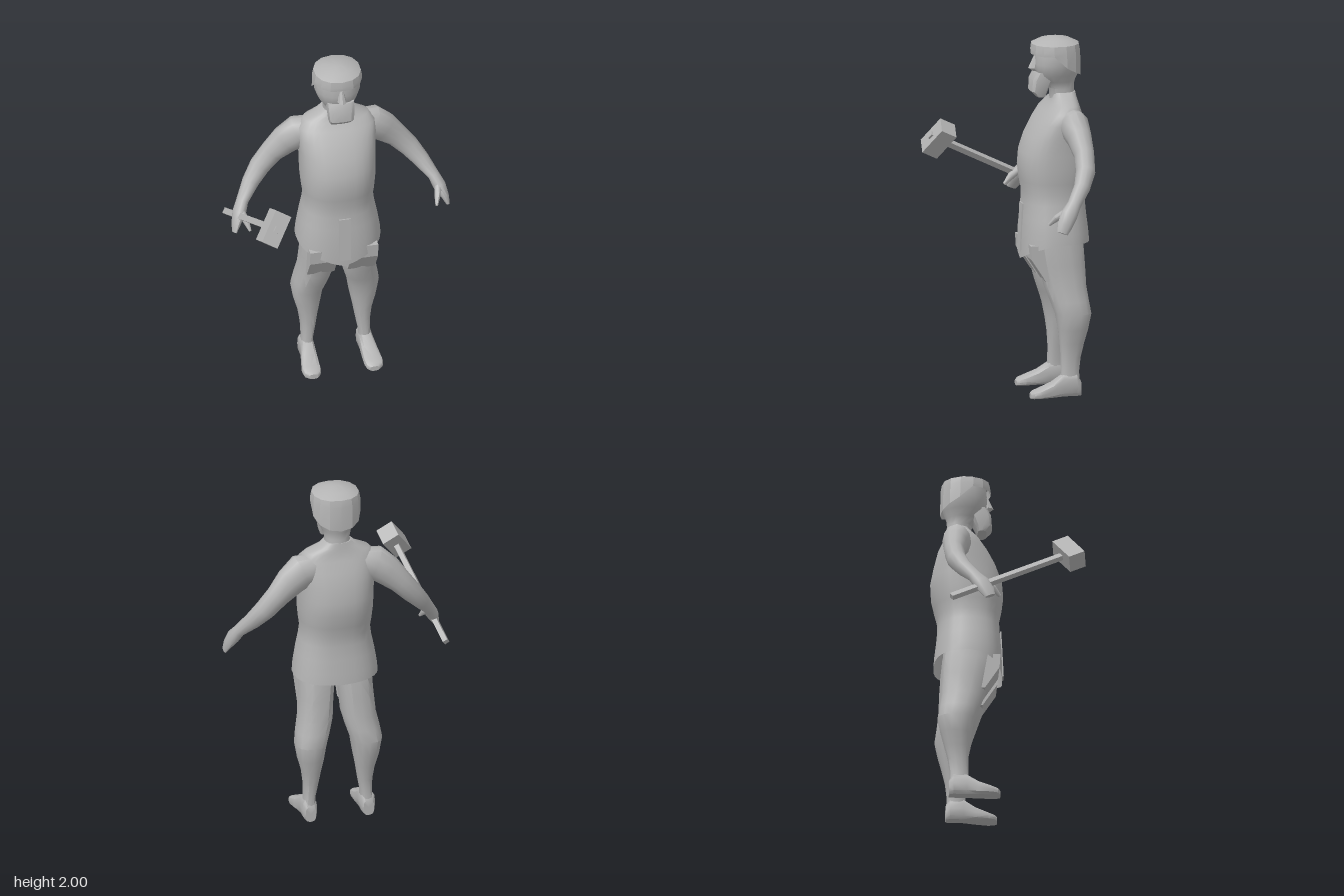
import * as THREE from 'three';
import { toCreasedNormals } from 'three/addons/utils/BufferGeometryUtils.js';

const V = (x, y, z) => new THREE.Vector3(x, y, z);
const spow = (v, e) => Math.sign(v) * Math.pow(Math.abs(v), e);

// Closed horizontal outline between x0..x1 and z0..z1; y may vary with position
function oval(y, x0, x1, z0, z1, n = 20, k = 2.4) {
  const pts = [];
  for (let i = 0; i < n; i++) {
    const a = (i / n) * Math.PI * 2 + Math.PI / 2;
    const c = spow(Math.cos(a), 2 / k), s = spow(Math.sin(a), 2 / k);
    const yy = typeof y === 'function' ? y(c, s) : y;
    pts.push(V((x0 + x1) / 2 + c * (x1 - x0) / 2, yy, (z0 + z1) / 2 + s * (z1 - z0) / 2));
  }
  return pts;
}

// Elliptical rings along a bent limb: [x, y, z, radius across, radius in depth]
function limbRings(secs, n = 12) {
  const c = secs.map((s) => V(s[0], s[1], s[2]));
  return secs.map((s, i) => {
    const t = c[Math.min(i + 1, c.length - 1)].clone().sub(c[Math.max(i - 1, 0)]).normalize();
    const u = V(t.y, -t.x, 0).normalize(), v = t.clone().cross(u);
    return Array.from({ length: n }, (_, j) => {
      const a = (j / n) * Math.PI * 2;
      return c[i].clone().addScaledVector(u, Math.cos(a) * s[3]).addScaledVector(v, Math.sin(a) * s[4]);
    });
  });
}

// Skin a stack of rings; faces are turned outward whichever way the rings run
function skin(rings, { side = 1, crease = 0.8, capStart = true, capEnd = true } = {}) {
  const n = rings[0].length, pos = [], idx = [];
  const add = (p) => pos.push(p.x * side, p.y, p.z) / 3 - 1;
  rings.forEach((r) => r.forEach(add));
  for (let i = 0; i < rings.length - 1; i++) for (let j = 0; j < n; j++) {
    const a = i * n + j, b = i * n + (j + 1) % n;
    idx.push(a, b, a + n, b, b + n, a + n);
  }
  const cap = (r, base, flip) => {
    const m = add(r.reduce((s, p) => s.add(p), V(0, 0, 0)).divideScalar(n));
    for (let j = 0; j < n; j++) {
      const a = base + j, b = base + (j + 1) % n;
      idx.push(m, flip ? b : a, flip ? a : b);
    }
  };
  if (capStart) cap(rings[0], 0, true);
  if (capEnd) cap(rings[rings.length - 1], (rings.length - 1) * n, false);
  const at = (i) => V(pos[i * 3], pos[i * 3 + 1], pos[i * 3 + 2]).sub(V(pos[0], pos[1], pos[2]));
  let vol = 0;
  for (let i = 0; i < idx.length; i += 3) vol += at(idx[i]).dot(at(idx[i + 1]).cross(at(idx[i + 2])));
  if (vol < 0) idx.reverse();
  const g = new THREE.BufferGeometry();
  g.setAttribute('position', new THREE.Float32BufferAttribute(pos, 3));
  g.setIndex(idx);
  return toCreasedNormals(g, crease);
}

export function createModel() {
  const model = new THREE.Group();
  model.name = 'manWithHammer';
  const grey = new THREE.MeshStandardMaterial({ color: 0xb4b4b4, side: THREE.DoubleSide });
  grey.name = 'grey';
  const put = (name, geo, parent = model) => {
    const m = new THREE.Mesh(geo, grey);
    m.name = name;
    parent.add(m);
    return m;
  };
  // Stack of left-right symmetric outlines: [y, half width, back z, front z]
  const stack = (rows, n, k) => rows.map(([y, w, b, f]) => oval(y, -w, w, b, f, n, k));

  // Tunic: open hem dipping to a point in front, up to the neck
  const hem = (c, s) => 0.855 - (s > 0 ? 0.1 * Math.pow(1 - Math.abs(c), 0.7) : 0) + 0.01 * Math.abs(c);
  put('tunic', skin(stack([
    [hem, 0.235, -0.39, -0.012], [0.92, 0.23, -0.385, -0.013], [1.0, 0.217, -0.375, -0.02],
    [1.08, 0.2, -0.368, -0.026], [1.14, 0.192, -0.37, -0.027], [1.2, 0.2, -0.385, -0.015],
    [1.28, 0.207, -0.403, -0.005], [1.36, 0.208, -0.407, -0.012], [1.45, 0.212, -0.39, -0.045],
    [1.53, 0.218, -0.37, -0.09], [1.59, 0.215, -0.342, -0.135], [1.63, 0.18, -0.33, -0.17],
    [1.66, 0.11, -0.325, -0.185], [1.69, 0.075, -0.32, -0.19],
  ], 28, 2.5), { capStart: false }));

  // Narrow strip hanging down the front of the tunic
  const strip = put('frontStrip', new THREE.BoxGeometry(0.066, 0.27, 0.008));
  strip.position.set(0, 0.935, -0.014);
  strip.rotation.x = -0.05;

  // Head, nose and beard
  const head = new THREE.Group();
  head.name = 'head';
  model.add(head);
  put('skullAndNeck', skin(stack([
    [1.64, 0.078, -0.325, -0.18], [1.71, 0.07, -0.315, -0.18], [1.75, 0.082, -0.318, -0.14],
    [1.79, 0.108, -0.335, -0.1], [1.85, 0.128, -0.345, -0.092], [1.9, 0.13, -0.345, -0.095],
    [1.95, 0.125, -0.335, -0.1],
  ], 16, 2.2)), head);
  put('nose', skin(stack([
    [1.808, 0.018, -0.12, -0.085], [1.825, 0.025, -0.12, -0.058], [1.89, 0.012, -0.12, -0.088],
  ], 8, 2), { crease: 0.4 }), head);
  put('beard', skin(stack([
    [1.668, 0.062, -0.148, -0.098], [1.7, 0.072, -0.16, -0.066], [1.765, 0.078, -0.19, -0.07],
    [1.805, 0.078, -0.2, -0.092],
  ], 12, 3.5), { crease: 0.5 }), head);

  // Cap: band low at the nape and high on the brow, with a shallow crown
  const bandEdge = (c, s) => (s > 0.1 ? 1.905 : 1.86 + 0.06 * s - 0.02 * Math.max(0, -s));
  put('cap', skin(stack([
    [bandEdge, 0.137, -0.353, -0.074], [1.925, 0.137, -0.35, -0.073], [1.962, 0.13, -0.343, -0.078],
    [1.985, 0.085, -0.295, -0.125], [1.998, 0.025, -0.23, -0.18],
  ], 14, 2.2), { crease: 0.4, capStart: false }), head);

  for (const side of [1, -1]) {
    const label = side > 0 ? 'left' : 'right';

    // Arm and hand, bent slightly forward at the elbow
    put(label + 'Arm', skin(limbRings([
      [0.13, 1.535, -0.265, 0.085, 0.075], [0.21, 1.525, -0.272, 0.1, 0.08],
      [0.275, 1.475, -0.283, 0.088, 0.068], [0.35, 1.4, -0.292, 0.068, 0.056],
      [0.42, 1.32, -0.283, 0.059, 0.054], [0.48, 1.245, -0.248, 0.048, 0.045],
      [0.54, 1.165, -0.19, 0.033, 0.038], [0.565, 1.115, -0.155, 0.036, 0.047],
      [0.59, 1.06, -0.125, 0.022, 0.042], [0.602, 1.02, -0.108, 0.011, 0.03],
    ]), { side }));
    put(label + 'Thumb', skin(limbRings([
      [0.56, 1.14, -0.155, 0.022, 0.022], [0.54, 1.095, -0.09, 0.018, 0.02], [0.526, 1.055, -0.05, 0.007, 0.009],
    ], 8), { side }));

    // Leg: [y, inner x, outer x, back z, front z]
    put(label + 'Leg', skin([
      [0.07, 0.128, 0.2, -0.312, -0.2], [0.14, 0.128, 0.193, -0.308, -0.205], [0.22, 0.113, 0.196, -0.318, -0.205],
      [0.3, 0.1, 0.207, -0.337, -0.2], [0.38, 0.084, 0.23, -0.358, -0.19], [0.47, 0.07, 0.245, -0.376, -0.172],
      [0.54, 0.048, 0.234, -0.366, -0.147], [0.62, 0.028, 0.217, -0.356, -0.118],
      [0.74, 0.02, 0.207, -0.352, -0.085], [0.84, 0.01, 0.202, -0.346, -0.06], [0.95, 0.008, 0.185, -0.335, -0.06],
    ].map((r) => oval(...r, 14, 2.5)), { side, crease: 0.6 }));

    // Foot, lofted heel to toe: [z, centre x, half width, height]
    put(label + 'Foot', skin([
      [-0.314, 0.165, 0.03, 0.09], [-0.29, 0.165, 0.042, 0.13], [-0.215, 0.165, 0.04, 0.13],
      [-0.15, 0.17, 0.048, 0.085], [-0.08, 0.175, 0.054, 0.055], [-0.045, 0.175, 0.046, 0.042], [-0.03, 0.172, 0.026, 0.03],
    ].map(([z, x, w, h]) => oval(0, x - w, x + w, 0, h, 12, 3).map((p) => V(p.x, p.z, z))), { side, crease: 0.6 }));

    // Cloth flap over the thigh, bent back below the hem
    const flap = new THREE.Shape([
      [-0.03, 0.86], [-0.035, 0.78], [-0.115, 0.655], [-0.135, 0.655], [-0.1, 0.86],
    ].map(([z, y]) => new THREE.Vector2(-z, y)));
    const flapGeo = new THREE.ExtrudeGeometry(flap, { depth: 0.155, bevelEnabled: false });
    flapGeo.rotateY(Math.PI / 2);
    flapGeo.translate(side > 0 ? 0.037 : -0.192, 0, 0);
    put(label + 'ThighFlap', flapGeo);
  }

  // Hammer in the right hand: its y axis runs along the handle toward the head
  const hammer = new THREE.Group();
  hammer.name = 'hammer';
  const tail = V(-0.603, 1.01, -0.322), top = V(-0.482, 1.342, 0.332);
  const along = top.clone().sub(tail), len = along.length();
  along.normalize();
  const across = V(0.11, 0.16, -0.07);
  across.addScaledVector(along, -across.dot(along)).normalize();
  hammer.quaternion.setFromRotationMatrix(
    new THREE.Matrix4().makeBasis(across, along, across.clone().cross(along)));
  hammer.position.copy(tail);
  put('handle', new THREE.BoxGeometry(0.034, len + 0.06, 0.028), hammer).position.y = (len + 0.06) / 2;
  put('hammerHead', new THREE.BoxGeometry(0.19, 0.098, 0.1), hammer).position.y = len;
  model.add(hammer);

  return model;
}
